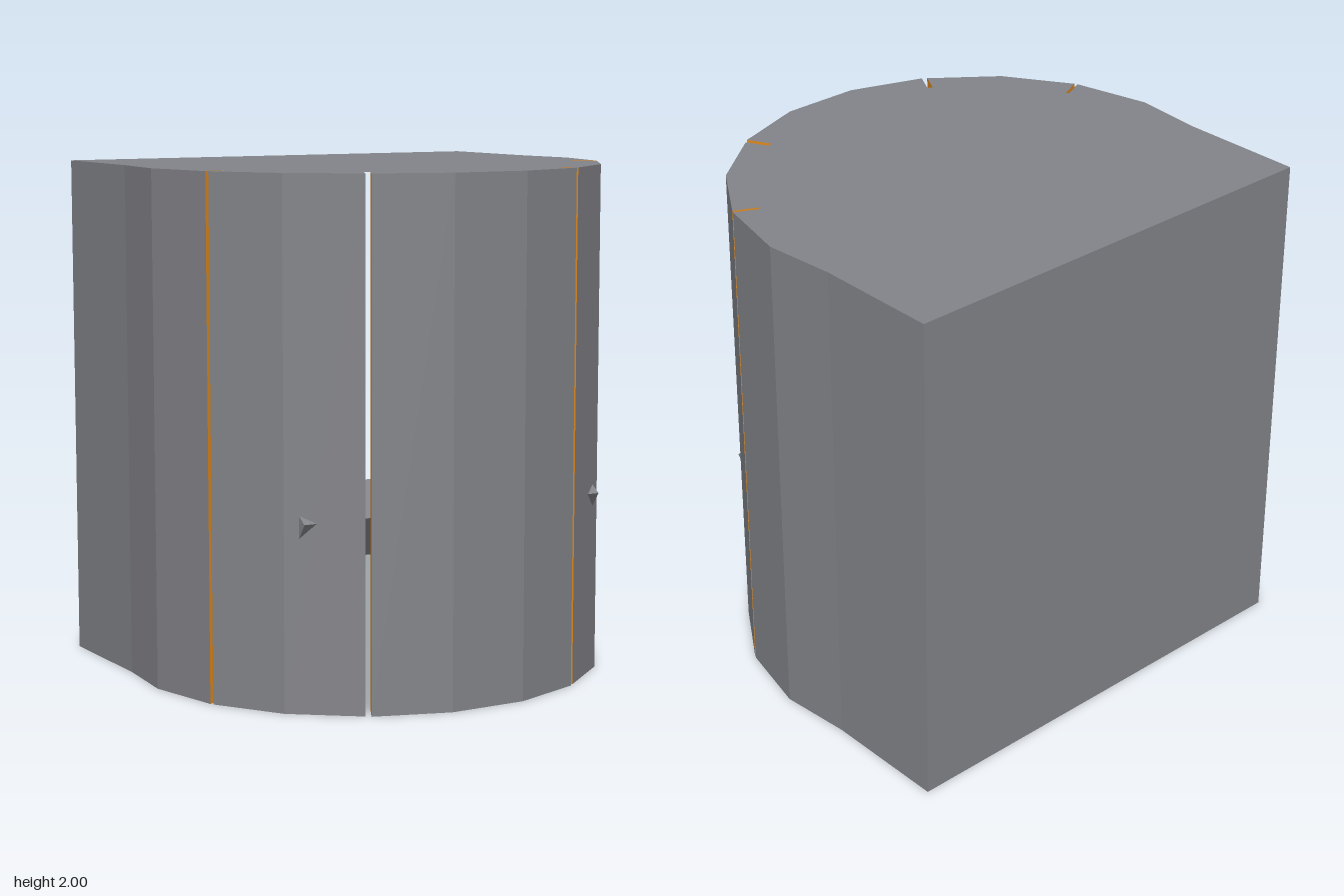
import * as THREE from 'three';

const HEIGHT = 2;

// Right half of the plan outline (x, z), from front to back, with two narrow slots
const half = [
  [0.157, 0.835],
  [0.449, 0.735], [0.401, 0.646], [0.421, 0.636], [0.466, 0.721],
  [0.705, 0.535],
  [0.871, 0.279], [0.782, 0.236], [0.787, 0.224], [0.877, 0.267],
  [0.948, -0.04], [0.921, -0.33], [0.921, -0.835],
];
const slotSides = [1, 3, 6, 8]; // segments lining the slots
const slotEnds = [2, 7];        // segments left open to the hollow inside

// Vertical wall strips standing on plan segments
function wallGeometry(segments) {
  const pos = [];
  for (const [[ax, az], [bx, bz]] of segments) {
    pos.push(ax, 0, az, bx, 0, bz, bx, HEIGHT, bz);
    pos.push(ax, 0, az, bx, HEIGHT, bz, ax, HEIGHT, az);
  }
  const g = new THREE.BufferGeometry();
  g.setAttribute('position', new THREE.Float32BufferAttribute(pos, 3));
  g.computeVertexNormals();
  return g;
}

function capGeometry(loop, up) {
  const shape = new THREE.Shape(loop.map(([x, z]) => new THREE.Vector2(x, up ? -z : z)));
  const g = new THREE.ShapeGeometry(shape);
  g.rotateX(up ? -Math.PI / 2 : Math.PI / 2);
  return g.translate(0, up ? HEIGHT : 0, 0);
}

export function createModel() {
  const group = new THREE.Group();
  const slate = new THREE.MeshStandardMaterial({ color: 0x838489, flatShading: true });
  const orange = new THREE.MeshStandardMaterial({ color: 0xe08a1e, flatShading: true, side: THREE.DoubleSide });
  const add = (name, geometry, material) => {
    const mesh = new THREE.Mesh(geometry, material);
    mesh.name = name;
    group.add(mesh);
    return mesh;
  };

  // Full outline, left back round the front to right back
  const loop = [...half.map(([x, z]) => [-x, z]).reverse(), ...half];
  const n = half.length;
  const outer = [], lining = [];
  loop.forEach((a, i) => {
    const k = i >= n ? i - n : n - 2 - i; // matching segment of the half outline
    if (slotEnds.includes(k)) return;
    (slotSides.includes(k) ? lining : outer).push([a, loop[(i + 1) % loop.length]]);
  });

  add('outerWalls', wallGeometry(outer), slate);
  add('slotLinings', wallGeometry(lining), orange);
  add('topPanel', capGeometry(loop, true), slate);
  add('bottomPanel', capGeometry(loop, false), slate);

  // Tilted bar inside, whose two end corners poke through the walls
  const bar = add('innerBar', new THREE.BoxGeometry(1.32, 0.2, 0.2), slate);
  bar.position.set(0, 0.695, 0.471);
  bar.rotation.x = 0.61;

  return group;
}
